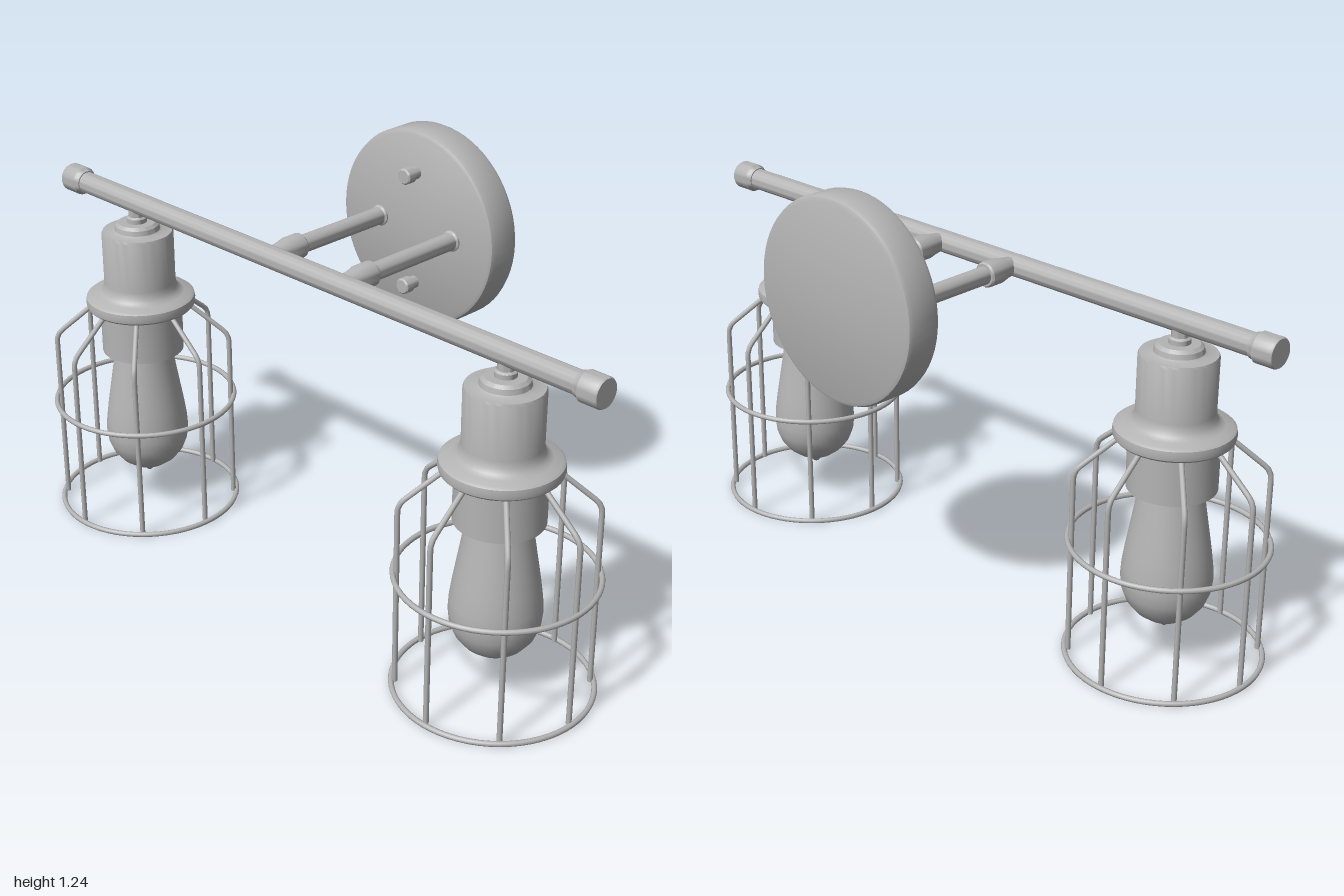
import * as THREE from 'three';
import { toCreasedNormals } from 'three/addons/utils/BufferGeometryUtils.js';

const BAR_Y = 0.963, LAMP_Z = 0.131, LAMP_X = 0.7;

export function createModel() {
  const model = new THREE.Group();
  model.name = 'wallLight';
  const metal = new THREE.MeshStandardMaterial({ color: 0xb4b4b4 });
  metal.name = 'plain grey';

  function add(parent, name, geometry, x = 0, y = 0, z = 0) {
    const mesh = new THREE.Mesh(geometry, metal);
    mesh.name = name;
    mesh.position.set(x, y, z);
    parent.add(mesh);
    return mesh;
  }

  // Turned part from [radius, height] pairs, listed from bottom to top
  function turned(profile, segments = 40, crease = 0.6) {
    const points = profile.map(([r, h]) => new THREE.Vector2(r, h));
    return toCreasedNormals(new THREE.LatheGeometry(points, segments), crease);
  }

  // Same, but with its axis along +z or +x
  const alongZ = (profile, segments) => turned(profile, segments).rotateX(Math.PI / 2);
  const alongX = (profile, segments) => turned(profile, segments).rotateZ(-Math.PI / 2);

  // Round wall plate with softened rims
  add(model, 'wallPlate', alongZ([
    [0, -0.405], [0.266, -0.402], [0.276, -0.398], [0.281, -0.388],
    [0.281, -0.312], [0.277, -0.301], [0.268, -0.296], [0, -0.296],
  ], 64), 0, BAR_Y, 0);

  // Two plate screws
  for (const s of [-1, 1]) {
    add(model, 'plateScrew', alongZ([
      [0.018, -0.297], [0.018, -0.275], [0.023, -0.273],
      [0.023, -0.248], [0.019, -0.244], [0, -0.244],
    ], 20), 0, BAR_Y + 0.163 * s, 0);
  }

  // Two arms with sleeves that reach the bar
  for (const s of [-1, 1]) {
    add(model, 'arm', alongZ([
      [0.03, -0.298], [0.03, -0.292], [0.025, -0.288], [0.025, 0.02],
    ], 24), 0.135 * s, BAR_Y, 0);
    add(model, 'armSleeve', alongZ([
      [0, 0.014], [0.031, 0.014], [0.035, 0.019], [0.035, 0.065],
      [0.03, 0.085], [0.025, 0.12],
    ], 24), 0.135 * s, BAR_Y, 0);
  }

  // Cross bar and end caps
  add(model, 'crossBar', alongX([[0.031, -0.95], [0.031, 0.95]], 32), 0, BAR_Y, LAMP_Z);
  for (const s of [-1, 1]) {
    const cap = add(model, 'endCap', alongX([
      [0, 0.925], [0.034, 0.925], [0.036, 0.935], [0.041, 0.942],
      [0.041, 0.995], [0.038, 1], [0, 1],
    ], 32), 0, BAR_Y, LAMP_Z);
    if (s < 0) cap.rotation.y = Math.PI;
  }

  // Path of one cage wire: upright, rounded bend, slope to the collar
  const wirePath = new THREE.CurvePath();
  const p = (r, y) => new THREE.Vector3(r, y, 0);
  wirePath.add(new THREE.LineCurve3(p(0.256, 0.008), p(0.256, 0.52)));
  wirePath.add(new THREE.QuadraticBezierCurve3(p(0.256, 0.52), p(0.256, 0.543), p(0.238, 0.558)));
  wirePath.add(new THREE.LineCurve3(p(0.238, 0.558), p(0.13, 0.65)));
  const wireGeometry = new THREE.TubeGeometry(wirePath, 40, 0.0075, 8);
  const ringGeometry = new THREE.TorusGeometry(0.266, 0.0075, 8, 64).rotateX(Math.PI / 2);

  const stemGeometry = turned([[0.029, 0.89], [0.029, 0.917], [0.023, 0.922], [0.023, 0.955]], 24);
  const cupGeometry = turned([
    [0, 0.642], [0.152, 0.642], [0.158, 0.648], [0.16, 0.66], [0.158, 0.674],
    [0.15, 0.68], [0.128, 0.684], [0.115, 0.692], [0.107, 0.705], [0.104, 0.722],
    [0.104, 0.87], [0.101, 0.877], [0.072, 0.878], [0.066, 0.882],
    [0.063, 0.896], [0.054, 0.904], [0, 0.904],
  ], 48);
  const holderGeometry = turned([[0, 0.502], [0.12, 0.502], [0.12, 0.645]], 40);
  const bulbGeometry = turned([
    [0, 0.083], [0.008, 0.086], [0.016, 0.096], [0.027, 0.106], [0.056, 0.118],
    [0.084, 0.139], [0.106, 0.167], [0.119, 0.2], [0.123, 0.235], [0.121, 0.27],
    [0.114, 0.32], [0.104, 0.38], [0.094, 0.44], [0.084, 0.505],
  ], 40, 1.2);

  // Two caged lamps
  for (const s of [-1, 1]) {
    const lamp = new THREE.Group();
    lamp.name = s > 0 ? 'leftLamp' : 'rightLamp';
    lamp.position.set(LAMP_X * s, 0, LAMP_Z);
    model.add(lamp);
    add(lamp, 'stem', stemGeometry);
    add(lamp, 'socketCup', cupGeometry);
    add(lamp, 'bulbHolder', holderGeometry);
    add(lamp, 'bulb', bulbGeometry);
    add(lamp, 'lowerRing', ringGeometry, 0, 0.008, 0);
    add(lamp, 'middleRing', ringGeometry, 0, 0.342, 0);
    for (let i = 0; i < 8; i++) {
      add(lamp, 'cageWire', wireGeometry).rotation.y = (i * Math.PI) / 4;
    }
  }

  return model;
}
